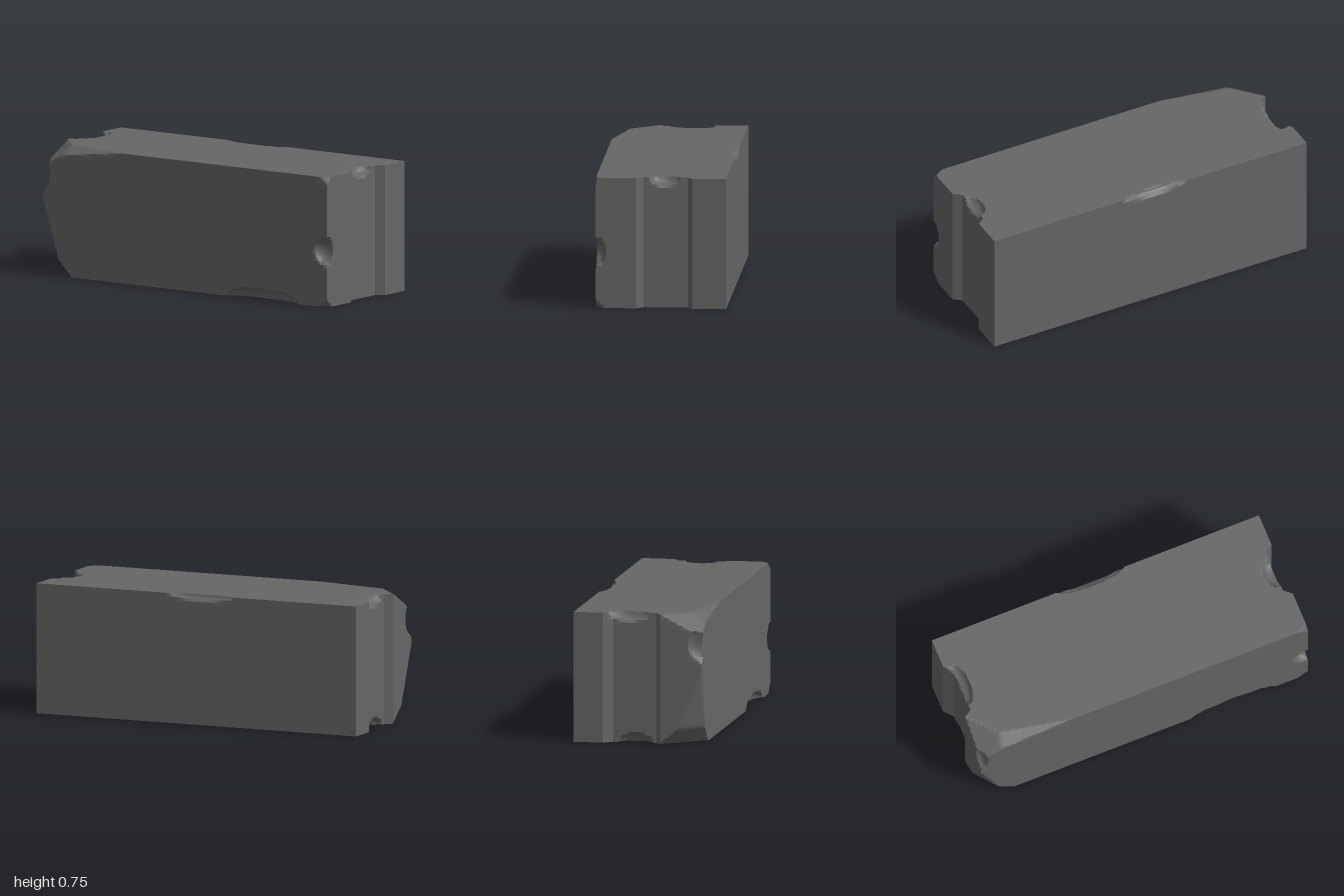
import * as THREE from 'three';
import { toCreasedNormals } from 'three/addons/utils/BufferGeometryUtils.js';

const V = (x, y, z) => new THREE.Vector3(x, y, z);
const H = 0.745, F = 0.37, GROOVE = 0.045;

// Grooved ends: z positions of the rim and floor on both sides of each groove
const grooves = {
  right: [-0.18, -0.15, 0.1, 0.14],
  left: [-0.2, -0.15, 0.1, 0.13],
};

function grooveDepth([a, b, c, d], z) {
  const rise = (z - a) / (b - a), fall = (d - z) / (d - c);
  return GROOVE * THREE.MathUtils.clamp(Math.min(rise, fall), 0, 1);
}

// Broken corners: flat cuts, each through three points
const cuts = [
  [V(-0.8, 0, F), V(-1, 0.2, F), V(-1, 0, 0.12)],
  [V(-1, 0.43, F), V(-0.92, 0.18, F), V(-1, 0.18, 0.27)],
  [V(-0.45, H, F), V(-0.9, 0.69, F), V(-0.9, H, 0.28)],
  [V(-1, H, 0.13), V(-0.85, H, 0.3), V(-1, 0.62, F)],
  [V(0.95, H, F), V(1, 0.705, F), V(1, H, 0.335)],
  [V(0.94, 0, F), V(1, 0.045, F), V(1, 0, 0.32)],
].map((points) => {
  const plane = new THREE.Plane().setFromCoplanarPoints(...points);
  if (plane.distanceToPoint(V(0, H / 2, 0)) > 0) plane.negate();
  return plane;
});

// Chipped edges: ellipsoid hollows as [centre, radii, inward direction]
const hollows = [
  [V(-1, 0.58, F), V(0.045, 0.1, 0.08), V(1, 0, -1)],
  [V(1, 0.32, F), V(0.09, 0.08, 0.06), V(-1, 0, -1)],
  [V(0.54, 0, F), V(0.25, 0.065, 0.06), V(0, 1, -1)],
  [V(0.955, H, -0.02), V(0.065, 0.05, 0.09), V(-1, -1, 0)],
  [V(-0.955, H, -0.06), V(0.055, 0.05, 0.13), V(1, -1, 0)],
  [V(-0.955, 0, -0.02), V(0.055, 0.05, 0.1), V(1, 1, 0)],
  [V(-0.03, H, -F), V(0.2, 0.03, 0.035), V(0, -1, 1)],
];

// Push a point inside a hollow inward until it lies on the hollow's surface
function carve(p, [centre, radii, dir]) {
  const q = p.clone().sub(centre).divide(radii);
  const inside = 1 - q.lengthSq();
  if (inside <= 0) return;
  const b = q.dot(dir), a = dir.lengthSq();
  const t = (-b + Math.sqrt(b * b + a * inside)) / a;
  p.addScaledVector(dir.clone().multiply(radii), t);
}

function blockGeometry() {
  const geo = new THREE.BoxGeometry(2, H, 2 * F, 100, 37, 74).translate(0, H / 2, 0);
  const pos = geo.attributes.position;
  const p = V(0, 0, 0);
  for (let i = 0; i < pos.count; i++) {
    p.fromBufferAttribute(pos, i);
    p.x *= 1 - grooveDepth(p.x > 0 ? grooves.right : grooves.left, p.z);
    for (const plane of cuts) {
      const d = plane.distanceToPoint(p);
      if (d > 0) p.addScaledVector(plane.normal, -d);
    }
    for (const hollow of hollows) carve(p, hollow);
    pos.setXYZ(i, p.x, p.y, p.z);
  }
  geo.deleteAttribute('uv');
  return toCreasedNormals(geo, 0.4);
}

export function createModel() {
  const stone = new THREE.MeshStandardMaterial({ color: 0x666666 });
  stone.name = 'grey stone';
  const block = new THREE.Mesh(blockGeometry(), stone);
  block.name = 'chippedStoneBlock';
  const group = new THREE.Group();
  group.name = 'stoneBlock';
  group.add(block);
  return group;
}
